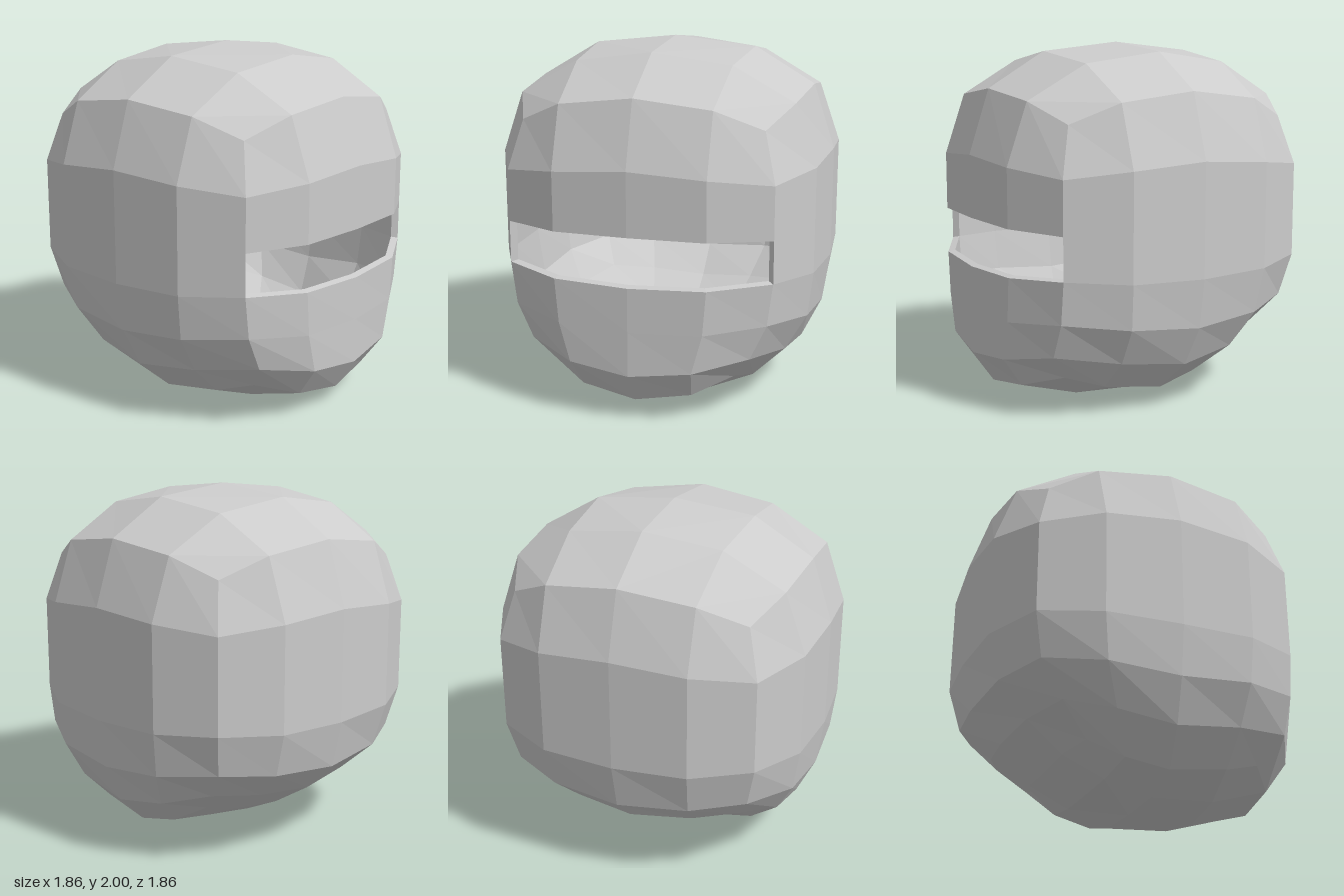
import * as THREE from 'three';

// Mirrors a half ring (front centre -> +x side -> back centre) into a full loop
function mirrorRing(half) {
  const last = half.length - 1;
  const other = half.slice(1, last).reverse().map(([x, y, z]) => [-x, y, z]);
  return [...half, ...other];
}

// 16-sided rounded-square ring, given [radius, height] at mid, quarter and corner
function squareRing(mid, quarter, corner, side) {
  const [m, my] = mid, [q, qy] = quarter, [c, cy] = corner;
  return mirrorRing([
    [0, my, m], [side, qy, q], [c, cy, c], [q, qy, side], [m, my, 0],
    [q, qy, -side], [c, cy, -c], [side, qy, -q], [0, my, -m],
  ]);
}

// Rings from the crown edge down to the edge of the underside
const rings = [
  squareRing([0.81, 1.75], [0.78, 1.70], [0.67, 1.59], 0.42),
  squareRing([0.93, 1.39], [0.9, 1.36], [0.74, 1.32], 0.42),
  squareRing([0.93, 1.04], [0.9, 1.036], [0.74, 1.03], 0.42),
  squareRing([0.93, 0.765], [0.9, 0.775], [0.74, 0.795], 0.42),
  mirrorRing([
    [0, 0.52, 0.93], [0.4, 0.53, 0.9], [0.71, 0.56, 0.74], [0.87, 0.525, 0.41], [0.89, 0.49, 0],
    [0.86, 0.525, -0.39], [0.69, 0.56, -0.69], [0.4, 0.53, -0.83], [0, 0.5, -0.87],
  ]),
  mirrorRing([
    [0, 0.27, 0.93], [0.34, 0.31, 0.9], [0.62, 0.365, 0.74], [0.75, 0.315, 0.4], [0.78, 0.265, 0.02],
    [0.75, 0.32, -0.3], [0.6, 0.39, -0.54], [0.34, 0.36, -0.65], [0, 0.33, -0.69],
  ]),
  mirrorRing([
    [0, 0.09, 0.81], [0.31, 0.14, 0.78], [0.51, 0.21, 0.62], [0.57, 0.14, 0.4], [0.59, 0.09, 0.06],
    [0.56, 0.14, -0.18], [0.47, 0.24, -0.36], [0.28, 0.21, -0.43], [0, 0.18, -0.45],
  ]),
];

// Inner 8-point rings and centres of the crown and the underside
const crown = mirrorRing([[0, 1.95, 0.47], [0.44, 1.89, 0.44], [0.47, 1.95, 0], [0.44, 1.89, -0.44], [0, 1.95, -0.47]]);
const crownCentre = [0, 2, 0];
const base = mirrorRing([[0, 0, 0.46], [0.31, 0.04, 0.44], [0.32, 0.02, 0.07], [0.29, 0.1, -0.19], [0, 0.07, -0.22]]);
const baseCentre = [0, 0.01, 0.07];

const slotRow = 2;
const slotColumns = [14, 15, 0, 1];

// Sixteen quads filling a 16-point ring
function capQuads(outer, inner, centre) {
  const quads = [];
  const o = (i) => outer[i % 16], n = (i) => inner[i % 8];
  for (let q = 0; q < 4; q++) {
    const a = 4 * q, b = 2 * q;
    quads.push(
      [o(a), o(a + 1), n(b + 1), n(b)],
      [o(a + 1), o(a + 2), o(a + 3), n(b + 1)],
      [n(b + 1), o(a + 3), o(a + 4), n(b + 2)],
      [n(b), n(b + 1), n(b + 2), centre],
    );
  }
  return quads;
}

const flip = (quads) => quads.map((q) => [...q].reverse());

// Whole shell, facing outwards, with the eye slot left open
function shellQuads() {
  const quads = capQuads(rings[0], crown, crownCentre);
  for (let r = 0; r < rings.length - 1; r++) {
    for (let i = 0; i < 16; i++) {
      if (r === slotRow && slotColumns.includes(i)) continue;
      const j = (i + 1) % 16;
      quads.push([rings[r][i], rings[r + 1][i], rings[r + 1][j], rings[r][j]]);
    }
  }
  return [...quads, ...flip(capQuads(rings[6], base, baseCentre))];
}

// Point on the inside of the shell wall
const inset = ([x, y, z]) => [x * 0.96, 1 + (y - 1) * 0.96, z * 0.96];

// Wall thickness around the eye slot
function rimQuads() {
  const top = rings[slotRow], bottom = rings[slotRow + 1];
  const columns = [...slotColumns, 2];
  const loop = [...columns.map((i) => bottom[i]), ...columns.map((i) => top[i]).reverse()];
  return loop.map((p, i) => {
    const next = loop[(i + 1) % loop.length];
    return [p, next, inset(next), inset(p)];
  });
}

function quadMesh(name, quads, material) {
  const positions = quads.flatMap(([a, b, c, d]) => [a, b, c, a, c, d]).flat();
  const geometry = new THREE.BufferGeometry();
  geometry.setAttribute('position', new THREE.Float32BufferAttribute(positions, 3));
  geometry.computeVertexNormals();
  const mesh = new THREE.Mesh(geometry, material);
  mesh.name = name;
  return mesh;
}

export function createModel() {
  const group = new THREE.Group();
  group.name = 'helmet';
  const material = new THREE.MeshStandardMaterial({ color: 0xcccccc, flatShading: true });
  const shell = shellQuads();
  group.add(
    quadMesh('outerShell', shell, material),
    quadMesh('innerShell', flip(shell.map((q) => q.map(inset))), material),
    quadMesh('eyeSlotRim', rimQuads(), material),
  );
  return group;
}
